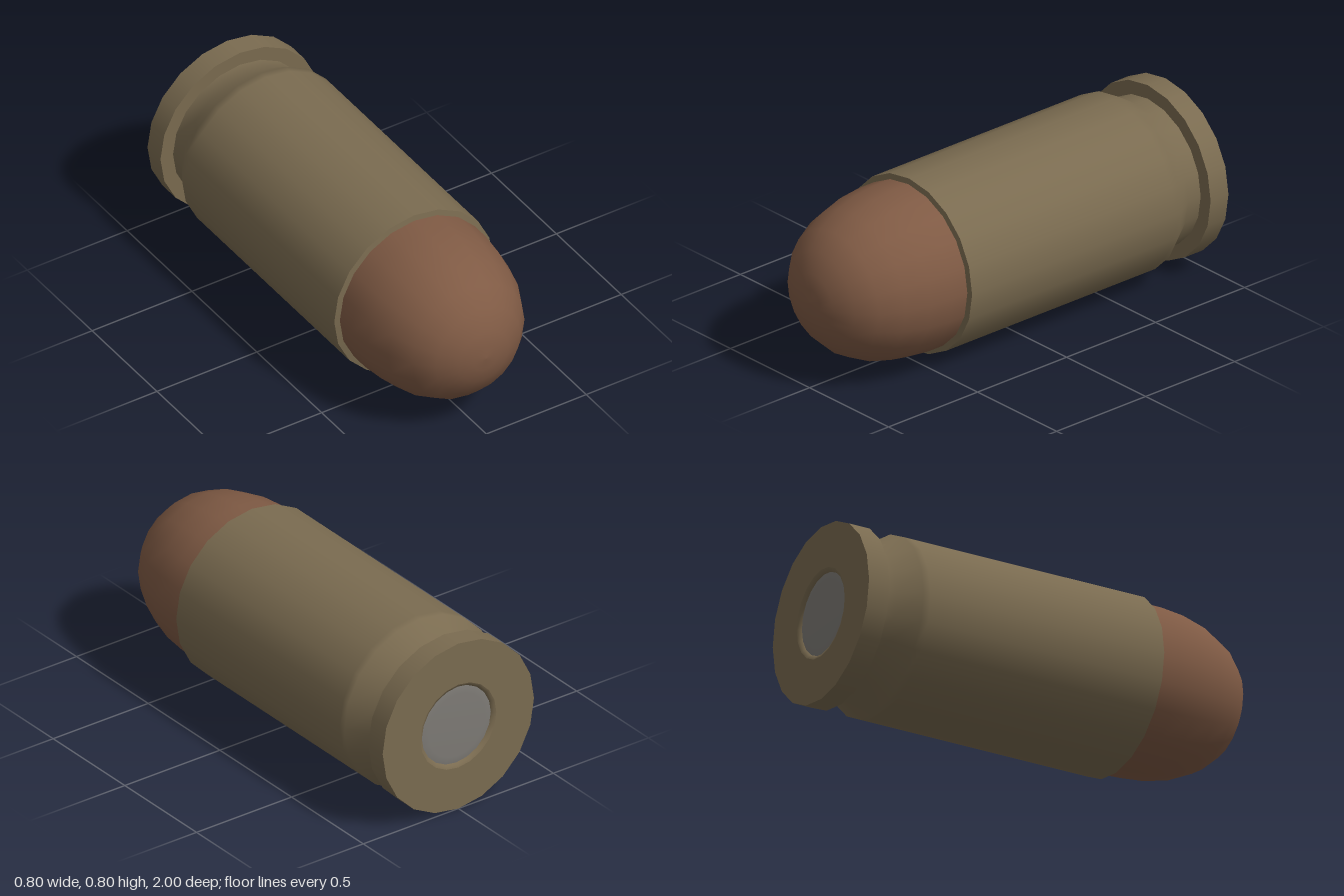
import * as THREE from 'three';

const R = 0.398; // case radius, also the height of the axis
const SIDES = 20;

export function createModel() {
  const brass = new THREE.MeshStandardMaterial({ color: 0x7a6b50 });
  brass.name = 'dull brass';
  const copper = new THREE.MeshStandardMaterial({ color: 0x7f5a44 });
  copper.name = 'copper';
  const steel = new THREE.MeshStandardMaterial({ color: 0x7d7a75 });
  steel.name = 'grey steel';

  const group = new THREE.Group();
  group.name = 'cartridge';

  // Turned part along z; the profile lists [radius, z] from back to front
  const turn = (name, material, profile) => {
    const points = profile.map(([r, z]) => new THREE.Vector2(r, z));
    const geometry = new THREE.LatheGeometry(points, SIDES).rotateX(Math.PI / 2);
    const mesh = new THREE.Mesh(geometry, material);
    mesh.name = name;
    mesh.position.y = R;
    group.add(mesh);
  };

  // Rim at the back, in separate pieces to keep its edges sharp
  turn('rimBack', brass, [[0.2, -1], [R, -1]]);
  turn('rimSide', brass, [[R, -1], [R, -0.9]]);
  turn('rimFront', brass, [[R, -0.9], [0.335, -0.9]]);

  // Recessed primer with its rounded pocket edge
  turn('primerPocket', brass, [[0.182, -0.985], [0.188, -0.995], [0.2, -1]]);
  turn('primer', steel, [[0, -0.99], [0.15, -0.99], [0.182, -0.985]]);

  // Extractor groove flowing into the straight case
  turn('caseBody', brass, [[0.335, -0.9], [0.335, -0.83], [R, -0.735], [R, -0.7], [R, 0.44]]);
  turn('caseMouth', brass, [[R, 0.44], [0.37, 0.445]]);

  // Rounded bullet
  turn('bullet', copper, [
    [0.373, 0.42], [0.373, 0.53], [0.362, 0.64], [0.333, 0.755], [0.282, 0.86],
    [0.212, 0.935], [0.125, 0.98], [0.06, 0.995], [0, 1],
  ]);

  return group;
}
